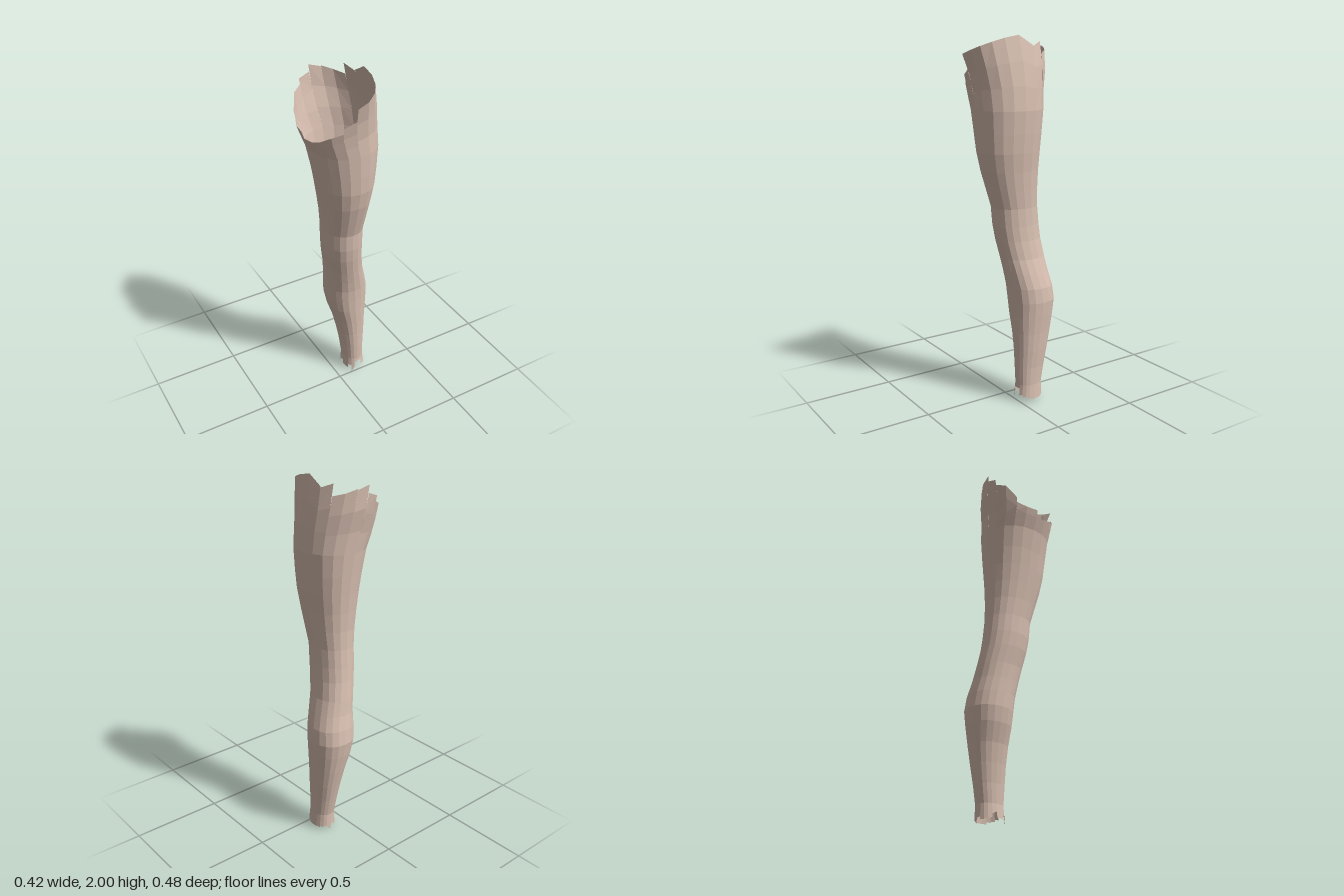
import * as THREE from 'three';

// Horizontal sections: height, x min, x max, z back, z front
const SECTIONS = [
  [0.00, 0.058, 0.192, -0.148, 0.012], [0.10, 0.064, 0.184, -0.146, 0.002],
  [0.20, 0.055, 0.186, -0.165, 0.005], [0.30, 0.040, 0.194, -0.185, 0.006],
  [0.40, 0.020, 0.199, -0.206, 0.010], [0.50, -0.012, 0.207, -0.225, 0.015],
  [0.58, -0.028, 0.212, -0.236, 0.019], [0.66, -0.034, 0.205, -0.226, 0.025],
  [0.74, -0.040, 0.182, -0.209, 0.038], [0.82, -0.048, 0.158, -0.199, 0.053],
  [0.92, -0.066, 0.143, -0.184, 0.073], [1.00, -0.075, 0.138, -0.176, 0.085],
  [1.10, -0.080, 0.137, -0.167, 0.092], [1.20, -0.092, 0.146, -0.165, 0.122],
  [1.30, -0.108, 0.156, -0.169, 0.151], [1.40, -0.125, 0.169, -0.176, 0.171],
  [1.50, -0.142, 0.178, -0.185, 0.179], [1.62, -0.168, 0.186, -0.196, 0.186],
  [1.72, -0.208, 0.179, -0.207, 0.191], [1.82, -0.222, 0.167, -0.228, 0.208],
  [1.90, -0.226, 0.150, -0.241, 0.237], [2.00, -0.230, 0.130, -0.235, 0.244],
];

// Torn edges: start and end height of each column, from +x round by the front
const TOP = [
  [2.0, 1.985], [1.985, 1.965], [1.965, 1.945], [1.945, 1.925], [1.925, 1.905],
  [1.83, 1.80], [1.77, 1.75], [1.75, 1.72], [1.72, 1.70], [1.70, 1.69],
  [1.73, 1.73], [1.73, 1.75], [1.78, 1.85], [1.85, 1.87], [1.90, 1.92],
  [1.96, 1.94], [1.945, 1.925], [1.925, 1.91], [1.97, 1.945], [1.95, 2.0],
];
const BOTTOM = [
  [0.02, 0.02], [0.03, 0.03], [0.035, 0.035], [0.045, 0.04], [0.08, 0.08],
  [0.08, 0.075], [0.04, 0.0], [0.05, 0.05], [0.025, 0.03], [0.03, 0.03],
  [0.06, 0.05], [0.03, 0.025], [0.03, 0.02], [0.02, 0.02], [0.035, 0.03],
  [0.0, 0.02], [0.03, 0.025], [0.025, 0.025], [0.02, 0.02], [0.02, 0.02],
];

// Point on the skin at a given angle and height
function skinPoint(angle, y) {
  let i = 1;
  while (i < SECTIONS.length - 1 && SECTIONS[i][0] < y) i++;
  const a = SECTIONS[i - 1], b = SECTIONS[i];
  const t = (y - a[0]) / (b[0] - a[0]);
  const [x0, x1, z0, z1] = [1, 2, 3, 4].map(k => a[k] + (b[k] - a[k]) * t);
  const round = v => Math.sign(v) * Math.pow(Math.abs(v), 0.9);
  return [
    (x0 + x1) / 2 + (x1 - x0) / 2 * round(Math.cos(angle)),
    y,
    (z0 + z1) / 2 + (z1 - z0) / 2 * round(Math.sin(angle)),
  ];
}

// Row heights of one column edge, between its torn ends
function rowHeights(low, high) {
  const inner = SECTIONS.map(s => s[0]).filter(y => y > 0.05 && y < 1.65);
  const last = inner[inner.length - 1];
  const upper = [1, 2, 3].map(k => last + (high - last) * k / 3);
  return [low, ...inner, ...upper];
}

export function createModel() {
  const group = new THREE.Group();
  group.name = 'leg';
  const skin = new THREE.MeshStandardMaterial({
    color: 0xd8bfb1, flatShading: true, side: THREE.DoubleSide,
  });
  skin.name = 'skin';

  // Open limb shell, built column by column
  const positions = [];
  const count = TOP.length;
  for (let c = 0; c < count; c++) {
    const a0 = c / count * Math.PI * 2, a1 = (c + 1) / count * Math.PI * 2;
    const r0 = rowHeights(BOTTOM[c][0], TOP[c][0]);
    const r1 = rowHeights(BOTTOM[c][1], TOP[c][1]);
    for (let r = 0; r < r0.length - 1; r++) {
      const p = skinPoint(a0, r0[r]), q = skinPoint(a1, r1[r]);
      const pUp = skinPoint(a0, r0[r + 1]), qUp = skinPoint(a1, r1[r + 1]);
      positions.push(...q, ...p, ...pUp, ...q, ...pUp, ...qUp);
    }
  }
  const geometry = new THREE.BufferGeometry();
  geometry.setAttribute('position', new THREE.Float32BufferAttribute(positions, 3));
  geometry.computeVertexNormals();

  const shell = new THREE.Mesh(geometry, skin);
  shell.name = 'legSkin';
  group.add(shell);
  return group;
}
